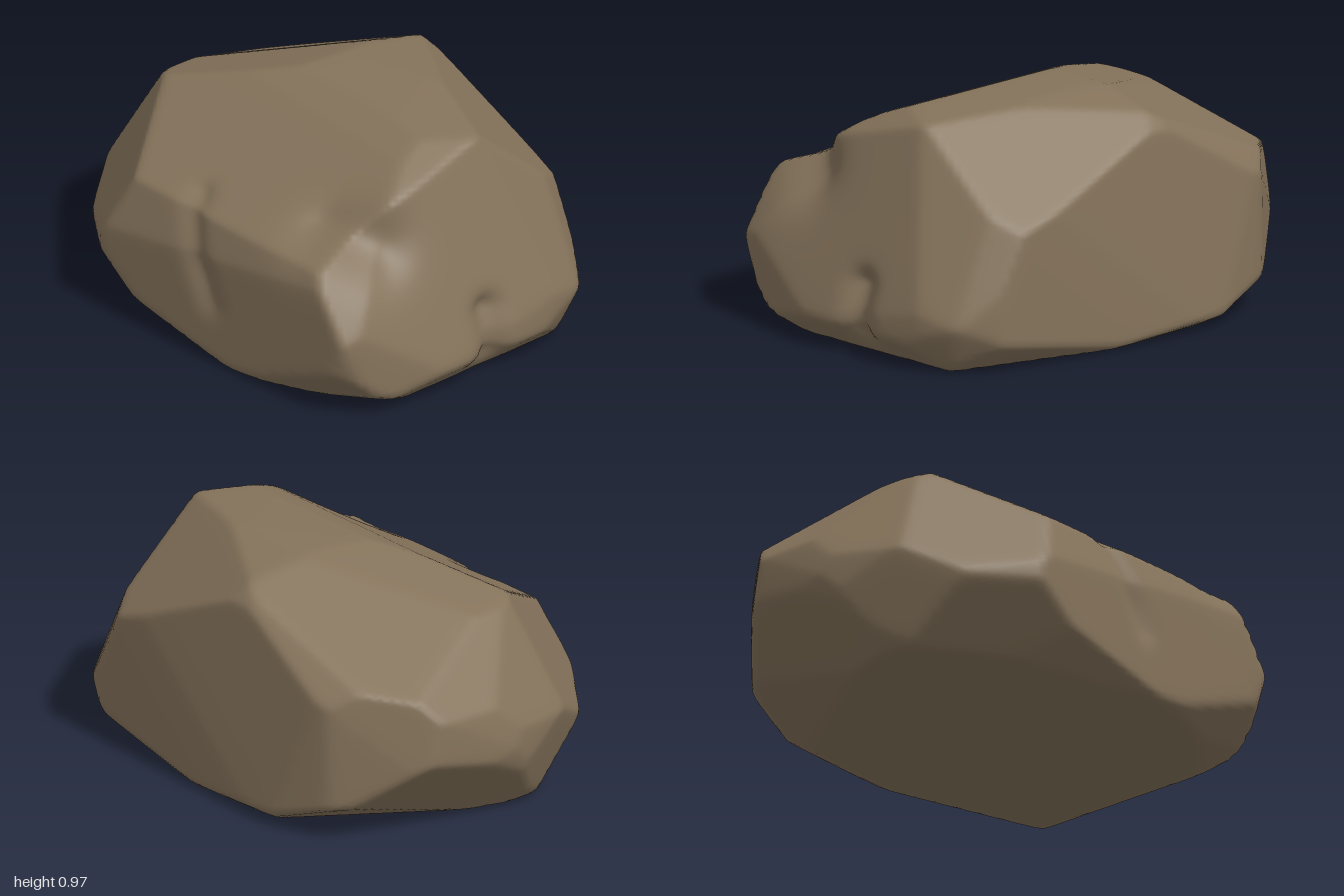
import * as THREE from 'three';
import { mergeVertices } from 'three/addons/utils/BufferGeometryUtils.js';

const MID = 0.49; // height of the rock's middle

// Direction to carve from (degrees round and up) and the clockwise outline to carve, measured from the middle
const front = [0, 0, [[-.79, -.483], [-.93, -.37], [-1, -.15], [-.96, .03], [-.7, .31], [-.1, .485], [.25, .49],
  [.73, .45], [1, -.36], [.89, -.483]]];
const side = [90, 0, [[-.73, -.483], [-.74, -.14], [-.63, .17], [-.25, .37], [.02, .475], [.3, .49], [.6, .435],
  [.66, .36], [.735, -.483]]];
const plan = [0, 90, [[-.95, .4], [-.64, .67], [-.35, .74], [.75, .66], [.91, .57], [.96, .4], [1, -.2],
  [.9, -.66], [-.48, -.73], [-.78, -.52], [-.9, -.35], [-1, 0]]];
const frontCorner = [35, 25, [[-.93, -.21], [-.93, .01], [-.66, .42], [.27, .62], [.9, .15], [1.07, -.28],
  [.98, -.46], [.53, -.76], [.09, -.785], [-.17, -.74], [-.65, -.51]]];
const backCorner = [215, 25, [[-1.07, -.23], [-.7, .52], [-.45, .58], [.67, .24], [.93, -.19], [.81, -.52],
  [.69, -.61], [-.1, -.74], [-.52, -.63], [-.98, -.38]]];
const underside = [140, -25, [[-1.115, -.1], [-.75, .45], [-.45, .69], [.46, .58], [.92, .12], [.975, -.26],
  [.45, -.76], [.2, -.785], [-.45, -.68], [-.74, -.53], [-1.07, -.24]]];

// A groove between two points
const dent = (start, end, width, depth) => ({
  line: new THREE.Line3(new THREE.Vector3(...start), new THREE.Vector3(...end)), width, depth,
});
const sideCleft = dent([1, 0, -.06], [.95, .28, -.06], .07, .06);
const shoulderLedge = dent([.62, .72, .5], [.85, .68, .4], .15, .09);
const frontCrack = dent([-.05, .65, .6], [.14, .28, .73], .06, .03);

// Each outline edge becomes one cutting plane, stored as normal / distance
function cuttingPlanes([azimuth, elevation, points]) {
  const a = THREE.MathUtils.degToRad(azimuth), e = THREE.MathUtils.degToRad(elevation);
  const across = new THREE.Vector3(Math.cos(a), 0, -Math.sin(a));
  const up = new THREE.Vector3(-Math.sin(a) * Math.sin(e), Math.cos(e), -Math.cos(a) * Math.sin(e));
  return points.map(([x, y], i) => {
    const [x2, y2] = points[(i + 1) % points.length];
    const normal = new THREE.Vector2(y - y2, x2 - x).normalize();
    const reach = Math.max(...points.map((p) => normal.x * p[0] + normal.y * p[1]));
    return across.clone().multiplyScalar(normal.x).addScaledVector(up, normal.y).divideScalar(reach);
  });
}

function rockGeometry() {
  const ball = new THREE.IcosahedronGeometry(1, 40);
  ball.deleteAttribute('normal');
  ball.deleteAttribute('uv');
  const geometry = mergeVertices(ball, 1e-5);
  const planes = [front, side, plan, frontCorner, backCorner, underside].flatMap(cuttingPlanes);
  const position = geometry.attributes.position;
  const v = new THREE.Vector3(), nearest = new THREE.Vector3(), inward = new THREE.Vector3();
  for (let i = 0; i < position.count; i++) {
    // Push each point out to the planes, with slightly worn edges
    v.fromBufferAttribute(position, i).multiply({ x: 1, y: 0.55, z: 0.8 }).normalize();
    inward.copy(v).negate();
    const slopes = planes.map((n) => n.dot(v));
    const sharp = 1 / Math.max(...slopes);
    const worn = slopes.reduce((sum, s) => sum + Math.max(0, s) ** 100, 0) ** -0.01;
    v.multiplyScalar((sharp + worn) / 2);
    v.y += MID;
    // Press in the dents
    for (const { line, width, depth } of [sideCleft, shoulderLedge, frontCrack]) {
      line.closestPointToPoint(v, true, nearest);
      v.addScaledVector(inward, depth * Math.exp(-((nearest.distanceTo(v) / width) ** 2)));
    }
    position.setXYZ(i, v.x, Math.max(0, v.y), v.z);
  }
  geometry.computeVertexNormals();
  return geometry;
}

export function createModel() {
  const group = new THREE.Group();
  group.name = 'boulder';
  const stone = new THREE.MeshStandardMaterial({ color: 0x85735b });
  stone.name = 'brown stone';
  const rock = new THREE.Mesh(rockGeometry(), stone);
  rock.name = 'rock';
  group.add(rock);
  return group;
}
